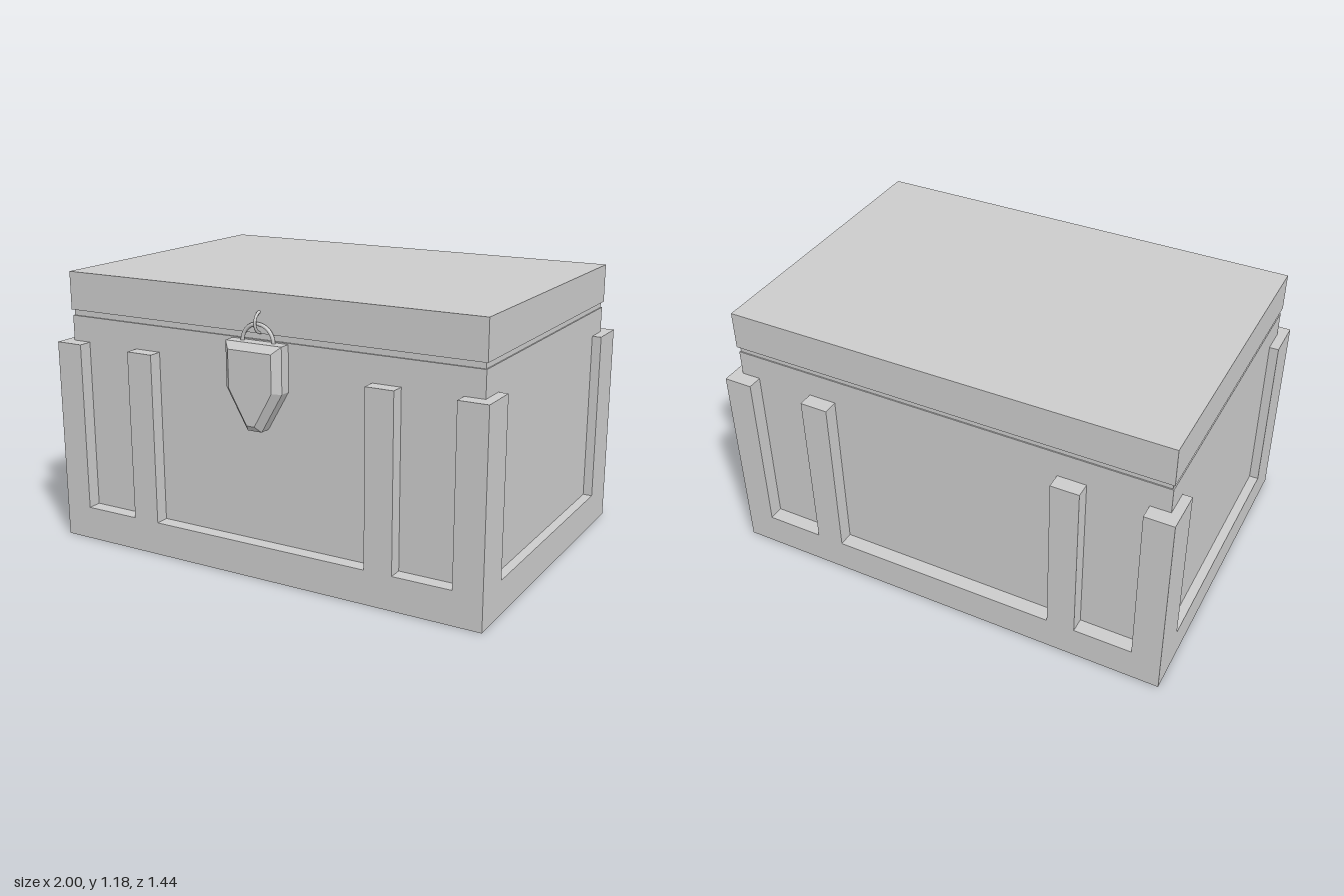
import * as THREE from 'three';

export function createModel() {
  const model = new THREE.Group();
  const mat = new THREE.MeshStandardMaterial({ color: 0xcccccc, flatShading: true });
  const smooth = new THREE.MeshStandardMaterial({ color: 0xcccccc });

  function add(name, geometry, material = mat) {
    const mesh = new THREE.Mesh(geometry, material);
    mesh.name = name;
    model.add(mesh);
    return mesh;
  }

  // Box given by its lower and upper limits on each axis
  function box(name, x0, x1, y0, y1, z0, z1) {
    const mesh = add(name, new THREE.BoxGeometry(x1 - x0, y1 - y0, z1 - z0));
    mesh.position.set((x0 + x1) / 2, (y0 + y1) / 2, (z0 + z1) / 2);
  }

  const BASE = 0.145, POST = 0.88, FRONT = 0.7, BACK = -0.72;

  // Chest body, recessed seam and lid
  box('basePlinth', -1, 1, 0, BASE, BACK, FRONT);
  box('body', -0.96, 0.96, BASE, 0.99, -0.655, 0.64);
  box('lidSeam', -0.955, 0.955, 0.99, 1.015, -0.65, 0.633);
  box('lid', -0.965, 0.965, 1.015, 1.18, -0.66, 0.642);

  // Corner posts and upright battens on front and back
  for (const side of [-1, 1]) {
    const span = (a, b) => (side > 0 ? [a, b] : [-b, -a]);
    box('cornerPostFront', ...span(0.875, 1), BASE, POST, 0.525, FRONT);
    box('cornerPostBack', ...span(0.875, 1), BASE, POST, BACK, -0.54);
    box('battenFront', ...span(0.5, 0.622), BASE, POST, 0.6, FRONT);
    box('battenBack', ...span(0.5, 0.622), BASE, POST, BACK, -0.62);
  }

  // Padlock: shield outline lofted through three sections, front one inset
  const outer = [[-0.13, 0.985], [-0.13, 0.795], [-0.033, 0.627], [0.033, 0.627], [0.13, 0.795], [0.13, 0.985]];
  const inner = [[-0.1, 0.957], [-0.1, 0.8], [-0.018, 0.655], [0.018, 0.655], [0.1, 0.8], [0.1, 0.957]];
  const rings = [[outer, 0.635], [outer, 0.69], [inner, 0.72]];
  const positions = rings.flatMap(([ring, z]) => ring.flatMap(([x, y]) => [x, y, z]));
  const index = [];
  const n = outer.length;
  for (let r = 0; r < 2; r++) {
    for (let i = 0; i < n; i++) {
      const a = r * n + i, b = r * n + (i + 1) % n;
      index.push(a, b, b + n, a, b + n, a + n);
    }
  }
  for (let i = 1; i < n - 1; i++) {
    index.push(2 * n, 2 * n + i, 2 * n + i + 1);
    index.push(0, i + 1, i);
  }
  const lock = new THREE.BufferGeometry();
  lock.setAttribute('position', new THREE.Float32BufferAttribute(positions, 3));
  lock.setIndex(index);
  const lockFlat = lock.toNonIndexed();
  lockFlat.computeVertexNormals();
  add('padlockBody', lockFlat);

  // Shackle arch and the staple ring it passes through
  const shackle = add('padlockShackle', new THREE.TorusGeometry(0.072, 0.008, 8, 24, Math.PI), smooth);
  shackle.position.set(0, 0.983, 0.655);
  const staple = add('stapleRing', new THREE.TorusGeometry(0.043, 0.006, 8, 24), smooth);
  staple.rotation.y = Math.PI / 2;
  staple.position.set(0, 1.06, 0.632);

  return model;
}
